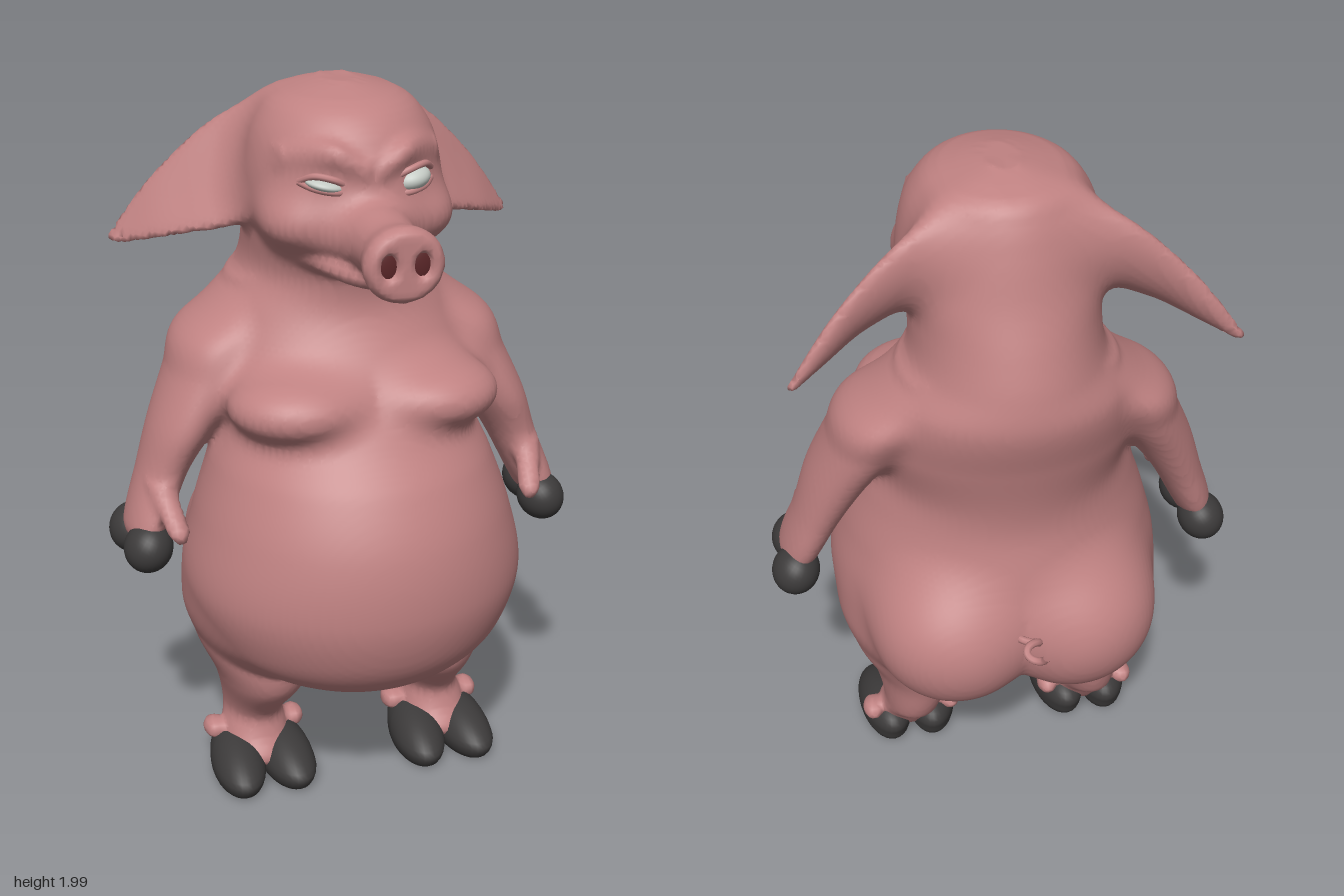
import * as THREE from 'three';

const mat = color => new THREE.MeshStandardMaterial({ color });
const skin = mat(0xc08282), horn = mat(0x3c3a3a), white = mat(0xc4cac4), dark = mat(0x5a2628);

// Distance to an ellipse or ellipsoid
function ellipseDistance(d, r) {
  let m = 0, n = 0;
  for (let i = 0; i < d.length; i++) {
    m += (d[i] / r[i]) ** 2;
    n += (d[i] / r[i] ** 2) ** 2;
  }
  const k = Math.sqrt(m) + 1e-6;
  return k * (k - 1) / (Math.sqrt(n) + 1e-6);
}

const ball = (c, r) => p => {
  const d = [p[0] - c[0], p[1] - c[1], p[2] - c[2]];
  return d.some((v, i) => Math.abs(v) > r[i] + 0.15) ? 9 : ellipseDistance(d, r);
};

// Body of elliptical cross-sections stacked along one axis.
// Rows: [position on axis, centre on the two other axes, the two radii]; turn rolls the ellipse, cup curls it
function stack(axis, rows, turn = 0, cup = 0) {
  const [a1, a2] = [0, 1, 2].filter(a => a !== axis), N = 120, n = rows.length - 1;
  const lo = rows[0][0], hi = rows[n][0], cs = Math.cos(turn), sn = Math.sin(turn);
  const slope = (i, j) => {
    const a = rows[Math.max(i - 1, 0)], b = rows[Math.min(i + 1, n)];
    return (b[j] - a[j]) / (b[0] - a[0]);
  };
  const table = Array.from({ length: N + 1 }, (_, s) => {
    const t = lo + (hi - lo) * s / N;
    let i = 0;
    while (i < n - 1 && rows[i + 1][0] < t) i++;
    const w = rows[i + 1][0] - rows[i][0], f = (t - rows[i][0]) / w, g = 1 - f;
    return [1, 2, 3, 4].map(j => {
      const v = rows[i][j] * (1 + 2 * f) * g * g + rows[i + 1][j] * f * f * (3 - 2 * f)
        + w * f * g * (g * slope(i, j) - f * slope(i + 1, j));
      return j > 2 ? Math.max(v, 0.004) : v;
    });
  });
  return p => {
    const beyond = Math.max(lo - p[axis], p[axis] - hi);
    if (beyond > 0.15) return 9;
    const s = THREE.MathUtils.clamp((p[axis] - lo) / (hi - lo), 0, 1) * N, i = Math.min(Math.floor(s), N - 1);
    const a = table[i], b = table[i + 1], mix = j => a[j] + (b[j] - a[j]) * (s - i);
    const d1 = p[a1] - mix(0), d2 = p[a2] - mix(1), r1 = mix(2), u = cs * d1 + sn * d2;
    const v = cs * d2 - sn * d1 - cup * r1 * (Math.min((u / r1) ** 2, 1.5) - 0.5);
    return Math.max(ellipseDistance([u, v], [r1, mix(3)]), beyond);
  };
}

// Flesh parts, smoothly blended into each other; paired ones are mirrored
const flesh = [];
const add = (name, blend, distance, paired = false) => flesh.push({ name, blend, distance, paired });

// Belly, chest, neck and head: [y, front z, back z, half width]
const torso = [
  [0.375, 0.27, 0.06, 0.09], [0.4, 0.38, -0.08, 0.24], [0.46, 0.46, -0.22, 0.37], [0.55, 0.515, -0.32, 0.44],
  [0.68, 0.543, -0.37, 0.475], [0.85, 0.525, -0.36, 0.44], [1.0, 0.46, -0.33, 0.39], [1.1, 0.385, -0.335, 0.355],
  [1.25, 0.29, -0.37, 0.365], [1.4, 0.195, -0.41, 0.33], [1.5, 0.19, -0.4, 0.26], [1.6, 0.24, -0.37, 0.25],
  [1.72, 0.275, -0.325, 0.266], [1.84, 0.265, -0.29, 0.25], [1.92, 0.22, -0.26, 0.215], [1.97, 0.15, -0.22, 0.16],
  [2.0, 0.03, -0.12, 0.05],
];
add('bodyAndHead', 0, stack(1, torso.map(([y, f, b, w]) => [y, 0, (f + b) / 2, w, (f - b) / 2])));
add('Chest', 0.06, ball([0.18, 1.195, 0.195], [0.19, 0.095, 0.175]), true);
add('Buttock', 0.09, ball([0.165, 0.65, -0.215], [0.24, 0.23, 0.23]), true);
add('Arm', 0.06, stack(1, [
  [0.79, 0.575, 0.01, 0.045, 0.08], [0.83, 0.567, 0.01, 0.058, 0.112], [0.97, 0.51, -0.02, 0.07, 0.115],
  [1.1, 0.45, -0.03, 0.09, 0.145], [1.23, 0.38, -0.06, 0.105, 0.165], [1.34, 0.33, -0.09, 0.11, 0.17],
  [1.45, 0.21, -0.12, 0.06, 0.1],
]), true);
add('Thumb', 0.03, stack(1, [
  [0.82, 0.503, 0.175, 0.012, 0.012], [0.85, 0.507, 0.16, 0.03, 0.03], [0.95, 0.53, 0.07, 0.028, 0.03],
]), true);
add('Leg', 0.08, stack(1, [
  [0.045, 0.275, 0.06, 0.07, 0.07], [0.08, 0.275, 0.06, 0.095, 0.095], [0.14, 0.275, 0.02, 0.092, 0.098],
  [0.2, 0.27, -0.015, 0.085, 0.125], [0.33, 0.255, 0.02, 0.128, 0.2], [0.45, 0.265, 0.01, 0.17, 0.225],
  [0.58, 0.265, 0, 0.19, 0.23], [0.78, 0.25, 0, 0.1, 0.1],
]), true);
for (const [name, x] of [['InnerDewclaw', 0.155], ['OuterDewclaw', 0.392]])
  add(name, 0.025, ball([x, 0.13, 0], [0.03, 0.03, 0.045]), true);
add('Ear', 0.08, stack(0, [
  [0.08, 1.85, -0.12, 0.1, 0.09], [0.2, 1.8, -0.125, 0.135, 0.075], [0.3, 1.735, -0.145, 0.15, 0.05],
  [0.39, 1.685, -0.18, 0.12, 0.036], [0.48, 1.625, -0.225, 0.078, 0.03], [0.58, 1.545, -0.28, 0.015, 0.012],
], -0.6435, 0.25), true);
add('Cheek', 0.06, ball([0.14, 1.675, 0.13], [0.115, 0.08, 0.12]), true);
add('snout', 0.05, stack(2, [
  [0.12, 0, 1.66, 0.17, 0.1], [0.24, 0, 1.66, 0.135, 0.092], [0.33, 0, 1.655, 0.093, 0.087],
  [0.42, 0, 1.65, 0.086, 0.08], [0.505, 0, 1.645, 0.104, 0.096], [0.53, 0, 1.645, 0.088, 0.08],
]));
add('lowerJaw', 0.02, stack(2, [
  [0.1, 0, 1.59, 0.18, 0.07], [0.22, 0, 1.578, 0.14, 0.052], [0.34, 0, 1.57, 0.082, 0.036],
  [0.405, 0, 1.572, 0.02, 0.012],
]));
add('Brow', 0.04, stack(0, [
  [0.02, 1.82, 0.258, 0.016, 0.018], [0.1, 1.86, 0.238, 0.025, 0.026], [0.2, 1.845, 0.14, 0.01, 0.015],
]), true);
const nostrilHole = ball([0.043, 1.647, 0.535], [0.025, 0.037, 0.035]);

// Smooth union of all flesh, less the nostrils
function field(x, y, z) {
  const p = [Math.abs(x), y, z];
  let d = 9;
  for (const { blend, distance } of flesh) {
    const e = distance(p), h = blend ? Math.max(blend - Math.abs(d - e), 0) / blend : 0;
    d = Math.min(d, e) - h * h * blend / 4;
  }
  return Math.max(d, -nostrilHole(p));
}

// Surface of the field on a regular grid, divided into named body parts
function buildFlesh(root) {
  const h = 0.0145, size = [97, 143, 78], from = [-0.696, -0.03, -0.52], step = [1, size[0], size[0] * size[1]];
  const value = new Float32Array(step[2] * size[2]), cell = new Int32Array(value.length), pos = [];
  const eachNode = (start, end, visit) => {
    for (let k = start; k < size[2] - end; k++) for (let j = start; j < size[1] - end; j++)
      for (let i = start; i < size[0] - end; i++) visit(i + j * step[1] + k * step[2], [i, j, k]);
  };
  eachNode(0, 0, (n, g) => { value[n] = field(...g.map((v, a) => from[a] + v * h)); });
  const corner = c => (c & 1) * step[0] + (c >> 1 & 1) * step[1] + (c >> 2) * step[2];

  // One vertex per crossed cell, at the mean crossing, then pulled onto the surface
  eachNode(0, 1, (n, g) => {
    const sum = [0, 0, 0];
    let count = 0;
    for (let c = 0; c < 8; c++) for (let a = 0; a < 3; a++) {
      if (c >> a & 1) continue;
      const A = value[n + corner(c)], B = value[n + corner(c) + step[a]];
      if ((A < 0) === (B < 0)) continue;
      for (let b = 0; b < 3; b++) sum[b] += b === a ? A / (A - B) : c >> b & 1;
      count++;
    }
    if (!count) return;
    const p = sum.map((v, a) => from[a] + (g[a] + v / count) * h);
    for (let pass = 0; pass < 2; pass++) {
      const d = field(...p), e = 0.002;
      const grad = p.map((_, a) => (field(...p.map((v, b) => b === a ? v + e : v)) - d) / e);
      const len = grad.reduce((s, v) => s + v * v, 1e-3);
      grad.forEach((v, a) => { p[a] -= THREE.MathUtils.clamp(d * v / len, -h / 3, h / 3); });
    }
    cell[n] = pos.length / 3;
    pos.push(...p);
  });

  const index = [], groups = {};
  eachNode(1, 1, n => {
    for (let a = 0; a < 3; a++) {
      const inside = value[n] < 0, b = step[(a + 1) % 3], c = step[(a + 2) % 3];
      if (inside === (value[n + step[a]] < 0)) continue;
      const q = [n - b - c, n - c, n, n - b].map(m => cell[m]);
      if (!inside) q.reverse();
      const tris = [q[0], q[1], q[2], q[0], q[2], q[3]];
      index.push(...tris);
      const [x, y, z] = pos.slice(q[0] * 3, q[0] * 3 + 3), p = [Math.abs(x), y, z];
      const part = flesh.reduce((m, f) => f.distance(p) < m.distance(p) ? f : m);
      const name = part.paired ? (x > 0 ? 'left' : 'right') + part.name : part.name;
      (groups[name] ??= []).push(...tris);
    }
  });
  const whole = new THREE.BufferGeometry();
  whole.setAttribute('position', new THREE.Float32BufferAttribute(pos, 3));
  whole.setIndex(index);
  whole.computeVertexNormals();
  for (const [name, tris] of Object.entries(groups))
    addTo(root, name, whole.clone().setIndex(tris).toNonIndexed(), skin);
}

const sphere = new THREE.SphereGeometry(1, 32, 20);
// Hoof: flat sole, top leaning back
const hoofShape = sphere.clone(), hp = hoofShape.attributes.position;
for (let i = 0; i < hp.count; i++) {
  const y = hp.getY(i);
  hp.setY(i, Math.max(y, -0.57));
  hp.setZ(i, hp.getZ(i) - 0.35 * Math.max(y, 0));
}
hoofShape.computeVertexNormals();

function addTo(root, name, geometry, material, position = [0, 0, 0], scale = [1, 1, 1], rz = 0, ry = 0) {
  const m = new THREE.Mesh(geometry, material);
  m.name = name;
  m.position.set(...position);
  m.scale.set(...scale);
  m.rotation.set(0, ry, rz);
  root.add(m);
}
const tube = (points, radius) => new THREE.TubeGeometry(
  new THREE.CatmullRomCurve3(points.map(p => new THREE.Vector3(...p))), 40, radius, 8);

export function createModel() {
  const root = new THREE.Group();
  root.name = 'standingPig';
  buildFlesh(root);
  for (const s of [1, -1]) {
    const side = s > 0 ? 'left' : 'right', open = s > 0 ? 1 : 0.55;
    for (const [x, z] of [[0.59, -0.058], [0.576, 0.085]])
      addTo(root, side + 'HandHoof', sphere, horn, [s * x, 0.78, z], [0.066, 0.071, 0.075], s * 0.5);
    for (const x of [0.203, 0.345])
      addTo(root, side + 'FootHoof', hoofShape, horn, [s * x, 0.06, 0.095], [0.077, 0.08, 0.16], 0, s * (x - 0.274));
    addTo(root, side + 'Nostril', sphere, dark, [s * 0.043, 1.647, 0.508], [0.03, 0.042, 0.01]);

    // Eye with lids; the right one squints
    addTo(root, side + 'Eye', sphere, white, [s * 0.115, 1.785, 0.225], [0.052, 0.03 * open, 0.045], s * 0.2, s * 0.35);
    for (const [name, lid] of [['UpperLid', 0.03], ['LowerLid', -0.028]]) {
      const y = 1.785 + lid * open;
      addTo(root, side + name, tube([[s * 0.058, y - 0.012 - lid * 0.3, 0.25], [s * 0.1, y, 0.258],
        [s * 0.145, y + 0.008, 0.238], [s * 0.175, y + 0.005 - lid * 0.5, 0.2]], 0.009), skin);
    }
  }
  // Small curled tail
  const curl = Array.from({ length: 16 }, (_, i) => {
    const t = i / 15, a = t * 11;
    return [0.022 * Math.sin(a), 0.71 + 0.06 * t + 0.025 * t * Math.cos(a), -0.37 - 0.17 * t];
  });
  addTo(root, 'tail', tube(curl, 0.011), skin);
  return root;
}
